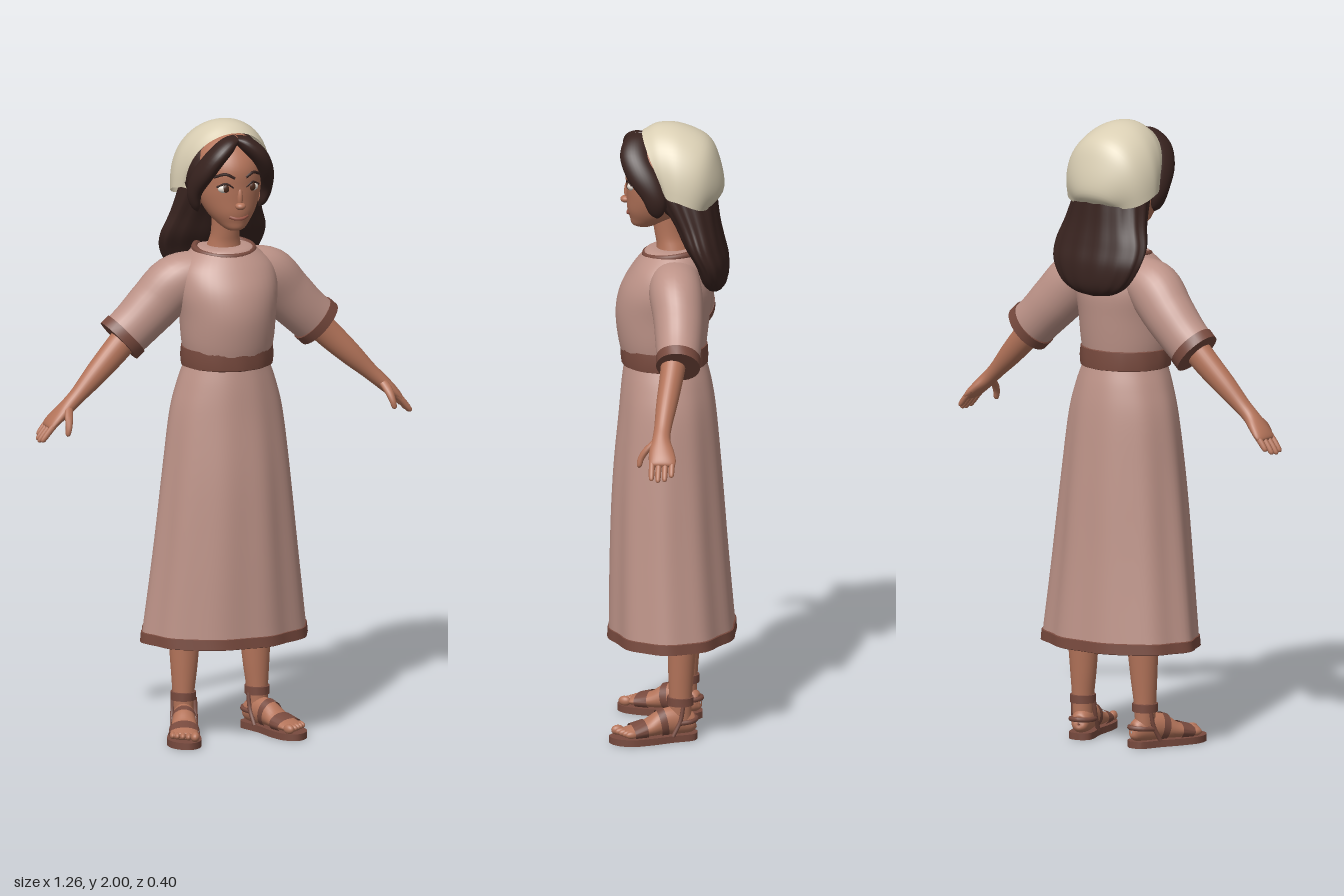
import * as THREE from 'three';
import { mergeVertices, toCreasedNormals } from 'three/addons/utils/BufferGeometryUtils.js';
import { ParametricGeometry } from 'three/addons/geometries/ParametricGeometry.js';

const material = (name, color, side = THREE.FrontSide) => {
  const m = new THREE.MeshStandardMaterial({ color, side });
  m.name = name;
  return m;
};
const V = (x, y, z) => new THREE.Vector3(x, y, z);

// Parametric surface with welded seams and smooth normals
function surface(fn, nu, nv) {
  let g = new ParametricGeometry(fn, nu, nv);
  g.deleteAttribute('uv');
  g.deleteAttribute('normal');
  g = mergeVertices(g, 1e-5);
  g.computeVertexNormals();
  return g;
}

// Elliptical loft; rows are [x, y, z, radius across the path, radius along z]
function loft(rows, { seg = 28, steps = 5, sharp = false, ripple = () => 1 } = {}) {
  const tension = sharp ? 0 : 0.5;
  const curve = (pts) => new THREE.CatmullRomCurve3(pts, false, 'catmullrom', tension);
  const path = curve(rows.map((r) => V(r[0], r[1], r[2])));
  const radii = curve(rows.map((r) => V(r[3], r[4], 0)));
  const g = surface((u, v, out) => {
    const a = (u % 1) * Math.PI * 2;
    const p = path.getPoint(v), t = path.getTangent(v), r = radii.getPoint(v);
    const len = Math.hypot(t.x, t.y) || 1;
    const k = ripple(a, p.y), n = Math.cos(a) * r.x * k;
    out.set(p.x - (t.y / len) * n, p.y + (t.x / len) * n, p.z + Math.sin(a) * r.y * k);
  }, seg, (rows.length - 1) * (sharp ? 1 : steps));
  return sharp ? toCreasedNormals(g, 0.7) : g;
}

function ball(x, y, z, rx, ry, rz) {
  return new THREE.SphereGeometry(1, 20, 14).scale(rx, ry, rz).translate(x, y, z);
}

function tube(points, r) {
  const curve = new THREE.CatmullRomCurve3(points.map((p) => V(...p)));
  return new THREE.TubeGeometry(curve, 16, r, 7);
}

// Mirror across x and restore the winding
function mirrored(geo) {
  const g = geo.index ? geo.clone() : mergeVertices(geo);
  g.scale(-1, 1, 1);
  const ix = g.index.array;
  for (let i = 0; i < ix.length; i += 3) [ix[i], ix[i + 1]] = [ix[i + 1], ix[i]];
  return g;
}

export function createModel() {
  const model = new THREE.Group();
  const skin = material('skin', 0xb4745a);
  const dress = material('dress cloth', 0xbd9388, THREE.DoubleSide);
  const trim = material('brown trim', 0x784a3e, THREE.DoubleSide);
  const hair = material('hair', 0x38231f);
  const scarf = material('scarf cloth', 0xdacfb4, THREE.DoubleSide);
  const white = material('eye white', 0xe6dcd2);
  const iris = material('iris', 0x4a2a1c);
  const lips = material('lips', 0x9a5546);

  const add = (name, geo, mat) => {
    const m = new THREE.Mesh(geo, mat);
    m.name = name;
    model.add(m);
  };
  const pair = (name, geo, mat) => {
    add('left ' + name, geo, mat);
    add('right ' + name, mirrored(geo), mat);
  };

  // Skirt with folds that deepen toward the hem
  const folds = (a, y) => 1 + 0.024 * Math.min(1, (1.3 - y) / 0.6) * Math.cos(a * 10) * (0.7 + 0.3 * Math.cos(a * 3));
  add('skirt', loft([[0, 0.335, 0, 0.27, 0.2], [0, 0.6, 0.01, 0.238, 0.187], [0, 0.85, 0.015, 0.21, 0.173],
    [0, 1.05, 0.015, 0.185, 0.155], [0, 1.15, 0.018, 0.16, 0.143], [0, 1.22, 0.022, 0.135, 0.13]],
  { seg: 80, ripple: folds }), dress);
  add('hem', loft([[0, 0.315, 0, 0.266, 0.197], [0, 0.318, 0, 0.275, 0.205], [0, 0.35, 0, 0.272, 0.203], [0, 0.353, 0, 0.265, 0.196]],
    { seg: 80, sharp: true, ripple: folds }), trim);
  add('skirt lining', loft([[0, 0.338, 0, 0.002, 0.002], [0, 0.339, 0, 0.268, 0.198]],
    { seg: 80, sharp: true, ripple: folds }), trim);

  // Bodice, belt and neckline
  add('bodice', loft([[0, 1.2, 0.025, 0.128, 0.122], [0, 1.285, 0.03, 0.147, 0.14], [0, 1.38, 0.03, 0.155, 0.15],
    [0, 1.46, 0.02, 0.165, 0.145], [0, 1.525, 0.01, 0.155, 0.12], [0, 1.57, -0.002, 0.115, 0.097],
    [0, 1.59, -0.008, 0.08, 0.078], [0, 1.592, -0.008, 0.004, 0.004]], { seg: 40 }), dress);
  add('belt', loft([[0, 1.207, 0.024, 0.13, 0.125], [0, 1.213, 0.024, 0.147, 0.137], [0, 1.24, 0.025, 0.15, 0.139],
    [0, 1.272, 0.026, 0.147, 0.138], [0, 1.28, 0.026, 0.135, 0.126]],
  { seg: 48, sharp: true, ripple: (a) => 1 + 0.006 * Math.cos(a * 12) }), trim);
  const neckline = [];
  for (let i = 0; i < 24; i++) {
    const a = (i / 24) * Math.PI * 2;
    neckline.push(V(Math.cos(a) * 0.094, 1.58 - Math.sin(a) * 0.012, Math.sin(a) * 0.088 - 0.002));
  }
  add('neckline', new THREE.TubeGeometry(new THREE.CatmullRomCurve3(neckline, true), 48, 0.011, 8, true), trim);

  // Sleeves, arms and hands
  pair('sleeve', loft([[0.06, 1.525, -0.012, 0.055, 0.075], [0.15, 1.48, -0.022, 0.088, 0.085], [0.22, 1.41, -0.035, 0.086, 0.079],
    [0.28, 1.35, -0.04, 0.08, 0.073], [0.335, 1.3, -0.043, 0.078, 0.067]]), dress);
  pair('cuff', loft([[0.315, 1.318, -0.042, 0.076, 0.064], [0.316, 1.317, -0.042, 0.083, 0.071],
    [0.34, 1.295, -0.043, 0.083, 0.07], [0.341, 1.294, -0.043, 0.002, 0.002]], { sharp: true }), trim);
  pair('arm', loft([[0.3, 1.33, -0.03, 0.046, 0.042], [0.36, 1.268, -0.024, 0.044, 0.038], [0.43, 1.2, -0.014, 0.037, 0.034],
    [0.49, 1.142, -0.006, 0.027, 0.028], [0.525, 1.11, -0.003, 0.024, 0.029], [0.555, 1.082, -0.006, 0.021, 0.039],
    [0.58, 1.058, -0.01, 0.017, 0.043], [0.594, 1.044, -0.01, 0.011, 0.038], [0.598, 1.04, -0.01, 0.002, 0.01]]), skin);
  [0.94, 1, 0.96, 0.8].forEach((len, i) => {
    const z = 0.022 - i * 0.021, dx = 0.058 * len, dy = 0.07 * len;
    pair('finger ' + (i + 1), loft([[0.57, 1.067, z, 0.01, 0.01], [0.57 + dx * 0.5, 1.067 - dy * 0.45, z, 0.01, 0.01],
      [0.57 + dx * 0.93, 1.067 - dy * 0.9, z, 0.008, 0.008], [0.57 + dx, 1.067 - dy, z, 0.001, 0.001]], { seg: 10, steps: 3 }), skin);
  });
  pair('thumb', loft([[0.53, 1.108, 0.012, 0.014, 0.014], [0.541, 1.08, 0.042, 0.014, 0.014], [0.548, 1.052, 0.06, 0.011, 0.011],
    [0.553, 1.03, 0.065, 0.008, 0.008], [0.555, 1.024, 0.066, 0.001, 0.001]], { seg: 10, steps: 4 }), skin);

  // Legs, feet and sandals; feet are shaped along x and then turned outward
  pair('leg', loft([[0.125, 0.05, -0.035, 0.03, 0.034], [0.125, 0.13, -0.035, 0.034, 0.036], [0.122, 0.22, -0.037, 0.043, 0.041],
    [0.12, 0.32, -0.04, 0.051, 0.046], [0.12, 0.4, -0.04, 0.053, 0.05]]), skin);
  pair('ankle strap', loft([[0.125, 0.113, -0.035, 0.034, 0.036], [0.125, 0.114, -0.035, 0.04, 0.042],
    [0.125, 0.14, -0.035, 0.04, 0.042], [0.125, 0.141, -0.035, 0.034, 0.036]], { sharp: true }), trim);
  const place = (g) => g.rotateY(-70 * Math.PI / 180).translate(0.125, 0, -0.03);
  pair('foot', place(loft([[-0.055, 0.05, 0, 0.004, 0.004], [-0.045, 0.05, 0, 0.03, 0.027], [0, 0.06, 0, 0.045, 0.034],
    [0.05, 0.06, 0, 0.042, 0.036], [0.1, 0.045, 0, 0.028, 0.042], [0.15, 0.037, 0, 0.018, 0.044],
    [0.178, 0.034, 0, 0.012, 0.039], [0.183, 0.034, 0, 0.003, 0.01]])), skin);
  [0.034, 0.013, -0.005, -0.022, -0.037].forEach((z, i) => {
    pair('toe ' + (i + 1), place(ball(0.192 - i * 0.007, 0.035, z, 0.021, i ? 0.012 : 0.016, i ? 0.01 : 0.014)), skin);
  });
  const outline = new THREE.Shape();
  outline.moveTo(-0.062, 0);
  outline.splineThru([[-0.04, 0.036], [0.05, 0.04], [0.13, 0.053], [0.19, 0.05], [0.224, 0.02], [0.21, -0.025],
    [0.165, -0.052], [0.1, -0.052], [0.03, -0.042], [-0.04, -0.036], [-0.062, 0]].map((p) => new THREE.Vector2(...p)));
  const sole = new THREE.ExtrudeGeometry(outline, { depth: 0.022, bevelEnabled: false, curveSegments: 40 });
  pair('sandal sole', place(sole.rotateX(Math.PI / 2).translate(0, 0.022, 0)), trim);
  pair('toe strap', place(loft([[0.112, 0.042, 0, 0.03, 0.048], [0.155, 0.036, 0, 0.023, 0.05]], { sharp: true })), trim);
  pair('instep strap', place(loft([[0.045, 0.06, 0, 0.047, 0.04], [0.068, 0.056, 0, 0.043, 0.042]], { sharp: true })), trim);
  for (const s of [1, -1]) {
    pair(s > 0 ? 'inner strap' : 'outer strap',
      place(tube([[-0.005, 0.12, s * 0.035], [0.005, 0.07, s * 0.037], [0.03, 0.02, s * 0.039]], 0.007)), trim);
  }
  pair('heel strap', place(tube([[0.01, 0.06, 0.036], [-0.035, 0.063, 0.032], [-0.058, 0.065, 0],
    [-0.035, 0.063, -0.032], [0.01, 0.06, -0.036]], 0.008)), trim);

  // Neck and head
  add('neck', loft([[0, 1.55, -0.01, 0.066, 0.064], [0, 1.6, 0, 0.052, 0.05], [0, 1.64, 0.01, 0.045, 0.046], [0, 1.72, 0.02, 0.046, 0.05]]), skin);
  add('head', loft([[0, 1.655, 0.085, 0.004, 0.004], [0, 1.664, 0.09, 0.03, 0.035], [0, 1.69, 0.065, 0.058, 0.07],
    [0, 1.72, 0.05, 0.079, 0.093], [0, 1.76, 0.035, 0.097, 0.11], [0, 1.8, 0.03, 0.105, 0.117], [0, 1.86, 0.03, 0.106, 0.118],
    [0, 1.91, 0.025, 0.095, 0.1], [0, 1.95, 0.02, 0.06, 0.065], [0, 1.97, 0.02, 0.004, 0.004]], { seg: 40 }), skin);
  add('nose', ball(0, 1.746, 0.148, 0.017, 0.012, 0.017), skin);
  add('nose bridge', ball(0, 1.772, 0.14, 0.01, 0.035, 0.013), skin);
  pair('ear', ball(0.104, 1.757, 0.04, 0.012, 0.028, 0.017), skin);

  // Face details
  pair('eye', ball(0.045, 1.803, 0.125, 0.023, 0.015, 0.016), white);
  pair('iris', ball(0.044, 1.804, 0.1355, 0.012, 0.013, 0.007), iris);
  pair('eyelash', tube([[0.02, 1.806, 0.142], [0.045, 1.82, 0.138], [0.071, 1.808, 0.122]], 0.0035), hair);
  pair('eyebrow', tube([[0.018, 1.838, 0.146], [0.046, 1.851, 0.138], [0.076, 1.84, 0.114]], 0.005), hair);
  add('mouth', tube([[-0.03, 1.71, 0.13], [-0.012, 1.704, 0.139], [0.012, 1.704, 0.139], [0.03, 1.71, 0.13]], 0.0055), lips);

  // Hair: crown, parted front locks and the long back
  add('hair crown', ball(0, 1.835, -0.012, 0.128, 0.145, 0.128), hair);
  pair('front lock', loft([[-0.003, 1.958, 0.1, 0.01, 0.03], [0.03, 1.94, 0.113, 0.024, 0.041], [0.072, 1.9, 0.112, 0.029, 0.048],
    [0.104, 1.84, 0.082, 0.029, 0.052], [0.119, 1.78, 0.05, 0.022, 0.037], [0.112, 1.735, 0.042, 0.014, 0.024],
    [0.104, 1.715, 0.04, 0.002, 0.003]]), hair);
  add('back hair', loft([[0, 1.455, -0.135, 0.01, 0.004], [0, 1.467, -0.137, 0.075, 0.026], [0, 1.5, -0.135, 0.13, 0.043],
    [0, 1.56, -0.125, 0.168, 0.053], [0, 1.62, -0.1, 0.175, 0.064], [0, 1.69, -0.075, 0.152, 0.075], [0, 1.78, -0.04, 0.13, 0.1]],
  { seg: 64, ripple: (a) => 1 + 0.02 * Math.cos(a * 14) }), hair);

  // Scarf: arches [top y, top z, half width, bottom y, bottom z] from front to back
  const arches = [[1.972, 0.095, 0.138, 1.81, 0.02], [1.998, 0.045, 0.15, 1.79, 0.005], [1.995, -0.03, 0.162, 1.782, -0.03],
    [1.955, -0.115, 0.156, 1.765, -0.07], [1.88, -0.152, 0.132, 1.75, -0.1], [1.79, -0.165, 0.085, 1.742, -0.12],
    [1.74, -0.13, 0.05, 1.735, -0.11]];
  const tops = new THREE.CatmullRomCurve3(arches.map((r) => V(r[0], r[1], r[2])), false, 'catmullrom');
  const ends = new THREE.CatmullRomCurve3(arches.map((r) => V(r[3], r[4], 0)), false, 'catmullrom');
  add('head scarf', surface((u, v, out) => {
    const a = (u - 0.5) * Math.PI, c = Math.max(0, Math.cos(a));
    const t = tops.getPoint(v), e = ends.getPoint(v);
    out.set(t.z * Math.sin(a), e.x + (t.x - e.x) * Math.pow(c, 0.85), e.y + (t.y - e.y) * c);
  }, 36, 36), scarf);
  return model;
}
